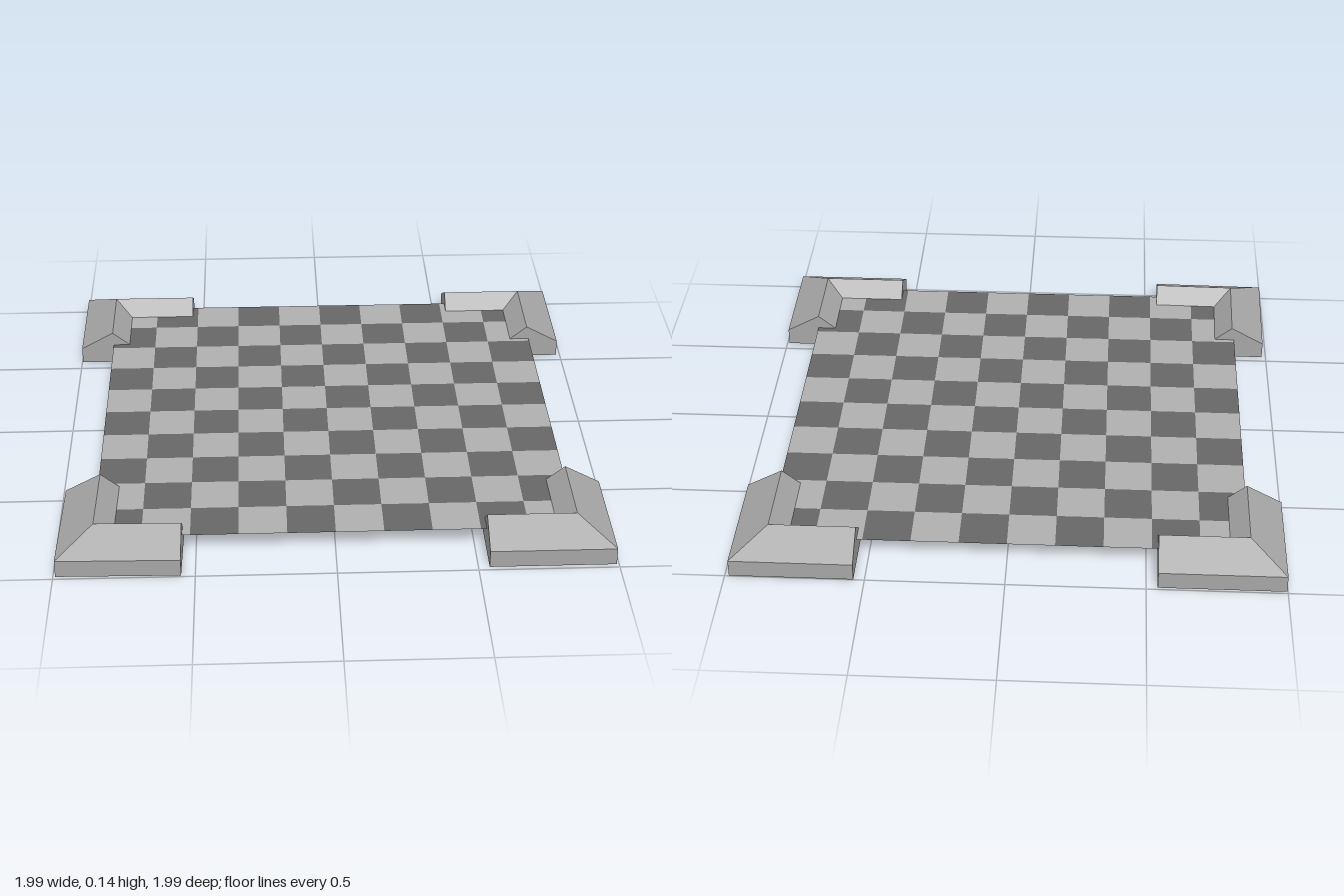
import * as THREE from 'three';
import { mergeGeometries } from 'three/addons/utils/BufferGeometryUtils.js';

const BOARD_HALF = 0.865, BOARD_Y = 0.08, SQUARES = 10;

// Roof-like section of a corner block: [distance inward, height]
const PROFILE = [[0, 0], [0, 0.065], [0.13, 0.135], [0.235, 0.05], [0.235, 0]];

// L-shaped mitred block; its outer corner is at the origin, arms run to -z and -x
function cornerGeometry(armZ, armX) {
  const sections = [
    PROFILE.map(([d, y]) => [-d, y, -armZ]),
    PROFILE.map(([d, y]) => [-d, y, -d]),
    PROFILE.map(([d, y]) => [-armX, y, -d]),
  ];
  const pos = [];
  const tri = (a, b, c) => pos.push(...a, ...b, ...c);
  const n = PROFILE.length;
  for (let s = 0; s < 2; s++) {
    const A = sections[s], B = sections[s + 1];
    for (let i = 0; i < n; i++) {
      const j = (i + 1) % n;
      tri(A[i], A[j], B[j]);
      tri(A[i], B[j], B[i]);
    }
  }
  // end caps
  for (let i = 1; i < n - 1; i++) {
    tri(sections[0][0], sections[0][i + 1], sections[0][i]);
    tri(sections[2][0], sections[2][i], sections[2][i + 1]);
  }
  const g = new THREE.BufferGeometry();
  g.setAttribute('position', new THREE.Float32BufferAttribute(pos, 3));
  g.computeVertexNormals();
  return g;
}

// All squares of one colour as a single sheet
function squaresGeometry(parity) {
  const size = (2 * BOARD_HALF) / SQUARES, list = [];
  for (let r = 0; r < SQUARES; r++) {
    for (let c = 0; c < SQUARES; c++) {
      if ((r + c) % 2 !== parity) continue;
      list.push(new THREE.PlaneGeometry(size, size).rotateX(-Math.PI / 2)
        .translate((c + 0.5) * size - BOARD_HALF, BOARD_Y, (r + 0.5) * size - BOARD_HALF));
    }
  }
  return mergeGeometries(list);
}

export function createModel() {
  const mat = (name, color, extra = {}) =>
    Object.assign(new THREE.MeshStandardMaterial({ color, ...extra }), { name });
  const lightGrey = mat('light grey', 0xb0b0b0, { side: THREE.DoubleSide });
  const darkGrey = mat('dark grey', 0x676767, { side: THREE.DoubleSide });
  const cornerGrey = mat('corner grey', 0xa6a6a6, { flatShading: true });

  const model = new THREE.Group();
  model.name = 'checkeredBoard';
  const add = (name, geometry, material) => {
    const mesh = new THREE.Mesh(geometry, material);
    mesh.name = name;
    model.add(mesh);
    return mesh;
  };

  // Checkered sheet
  add('lightSquares', squaresGeometry(0), lightGrey).position.z = -0.005;
  add('darkSquares', squaresGeometry(1), darkGrey).position.z = -0.005;

  // Corner blocks: name, outer x, outer z, turn, arm lengths
  const corners = [
    ['frontLeftCorner', 0.992, 0.982, 0, 0.44, 0.452],
    ['backLeftCorner', 0.985, -0.998, Math.PI / 2, 0.445, 0.455],
    ['backRightCorner', -0.997, -0.99, Math.PI, 0.437, 0.456],
    ['frontRightCorner', -0.992, 0.985, -Math.PI / 2 - 0.018, 0.442, 0.455],
  ];
  for (const [name, x, z, turn, a, b] of corners) {
    const block = add(name, cornerGeometry(a, b), cornerGrey);
    block.position.set(x, 0, z);
    block.rotation.y = turn;
  }
  return model;
}
